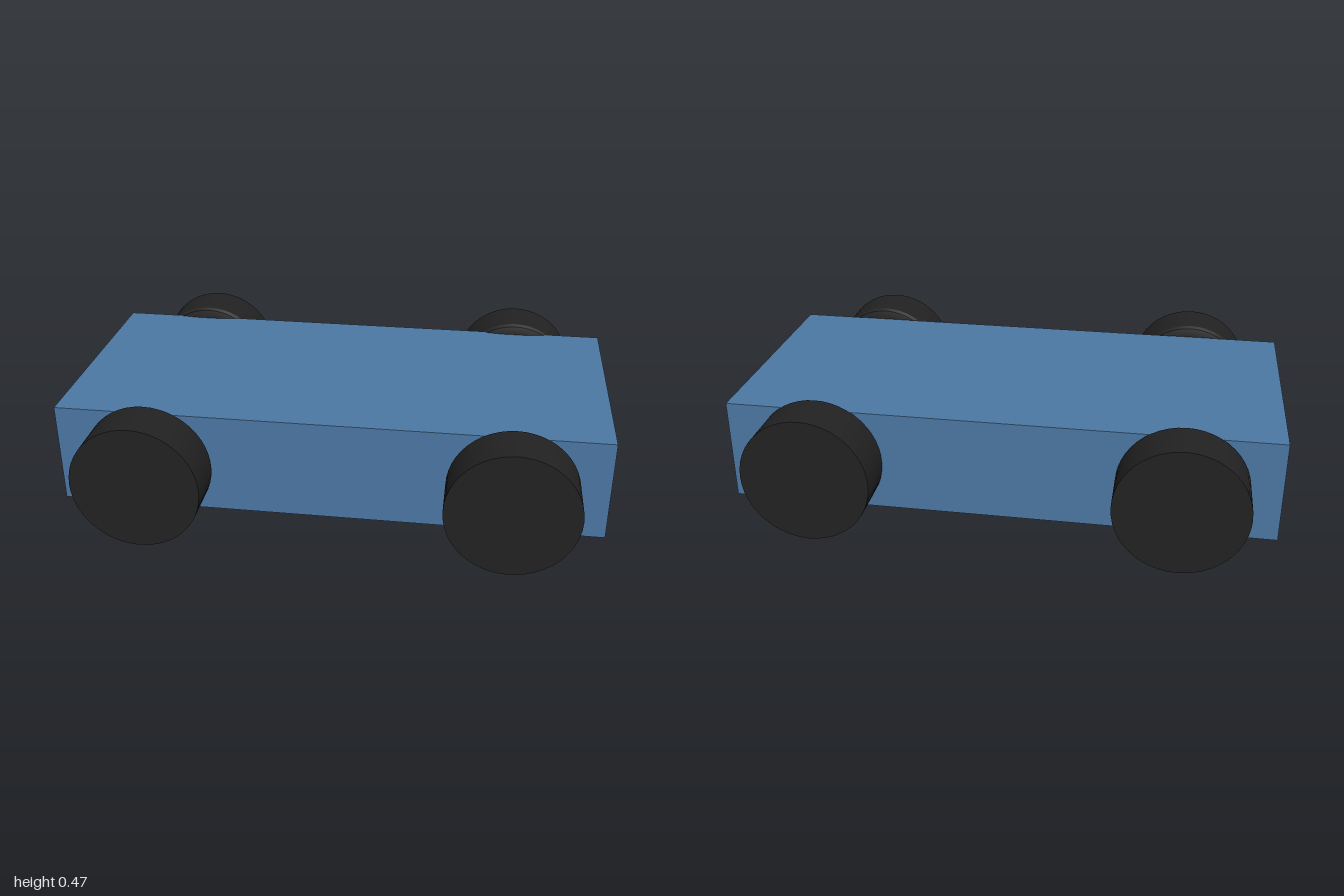
import * as THREE from 'three';
import { toCreasedNormals } from 'three/addons/utils/BufferGeometryUtils.js';

export function createModel() {
  const model = new THREE.Group();
  model.name = 'cart';

  const bodyBlue = new THREE.MeshStandardMaterial({ color: 0x4c78a4 });
  bodyBlue.name = 'bodyBlue';
  const tyreBlack = new THREE.MeshStandardMaterial({ color: 0x222222 });
  tyreBlack.name = 'tyreBlack';

  // Plain box body
  const body = new THREE.Mesh(new THREE.BoxGeometry(2, 0.38, 0.914), bodyBlue);
  body.name = 'body';
  body.position.set(0, 0.24, -0.01);
  model.add(body);

  // Solid wheel, turned from the inner face (0) out to the outer face,
  // with a small bevel on the inner rim
  const radius = 0.235;
  const width = 0.196;
  const profile = [
    [0, 0], [radius - 0.035, 0], [radius - 0.008, 0.008],
    [radius, 0.02], [radius, width], [0, width],
  ].map(([r, d]) => new THREE.Vector2(r, d));
  const wheelGeometry = toCreasedNormals(new THREE.LatheGeometry(profile, 48), 0.5);

  const addWheel = (name, x, innerZ) => {
    const wheel = new THREE.Mesh(wheelGeometry, tyreBlack);
    wheel.name = name;
    wheel.position.set(x, radius, innerZ);
    wheel.rotation.x = Math.sign(innerZ) * Math.PI / 2;
    model.add(wheel);
  };
  addWheel('frontRightWheel', -0.655, 0.451);
  addWheel('frontLeftWheel', 0.66, 0.45);
  addWheel('backRightWheel', -0.655, -0.454);
  addWheel('backLeftWheel', 0.66, -0.45);

  return model;
}
